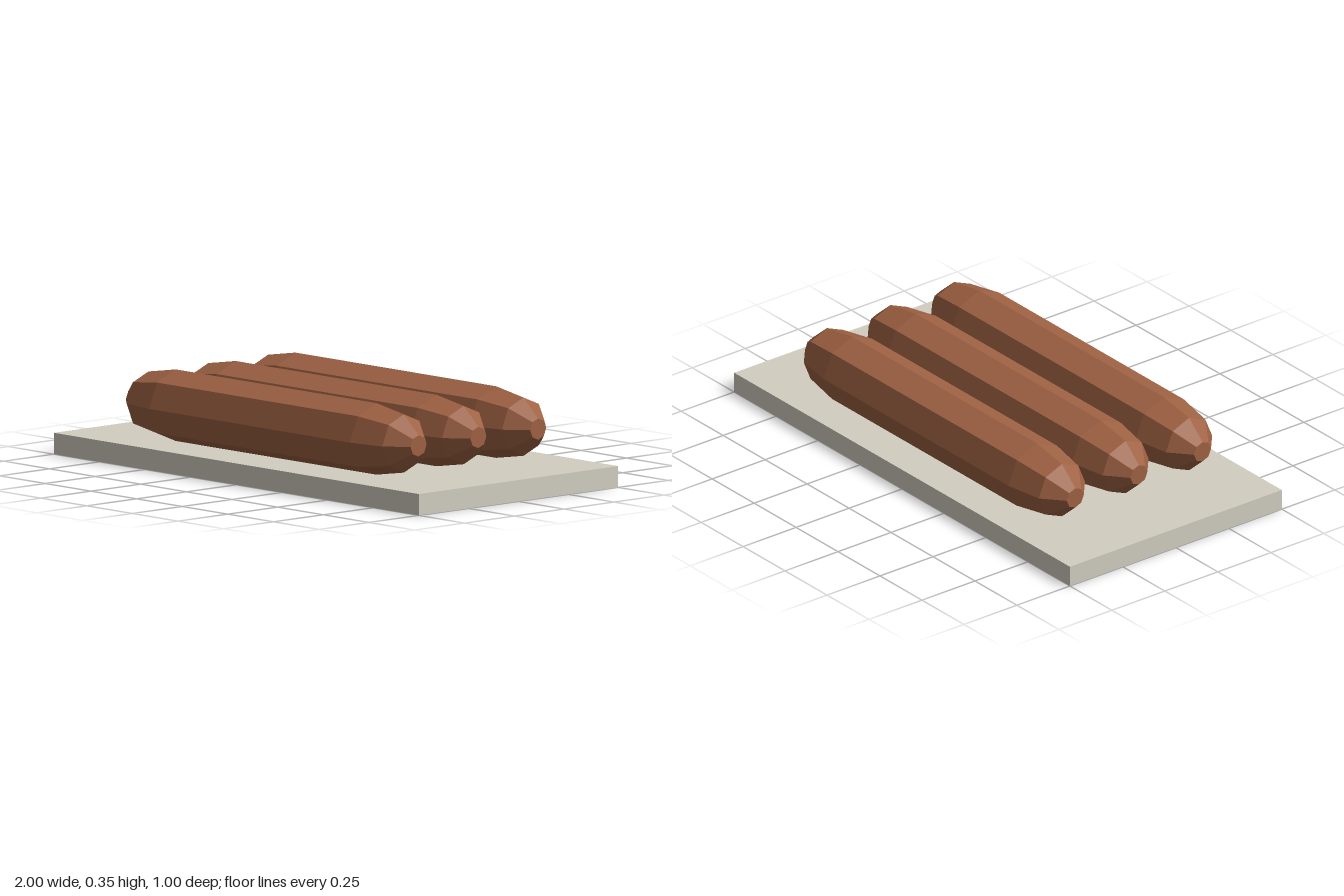
import * as THREE from 'three';

const meat = new THREE.MeshStandardMaterial({ color: 0x9f6243 });
meat.name = 'sausage brown';
const stone = new THREE.MeshStandardMaterial({ color: 0xd2cec1 });
stone.name = 'warm grey';

// Eight-sided sausage lying along x, with faceted tapered ends
function sausageGeometry() {
  const half = [[0.55, 0.134], [0.70, 0.109], [0.78, 0.04], [0.78, 0]];
  const profile = [
    ...half.map(([x, r]) => new THREE.Vector2(r, -x)).reverse(),
    ...half.map(([x, r]) => new THREE.Vector2(r, x)),
  ];
  const geometry = new THREE.LatheGeometry(profile, 8).toNonIndexed();
  geometry.rotateZ(-Math.PI / 2);
  geometry.computeVertexNormals(); // one normal per facet
  return geometry;
}

export function createModel() {
  const group = new THREE.Group();
  group.name = 'sausagesOnTray';

  // Flat tray
  const tray = new THREE.Mesh(new THREE.BoxGeometry(2, 0.08, 1), stone);
  tray.name = 'tray';
  tray.position.y = 0.04;
  group.add(tray);

  // Three sausages resting side by side
  const geometry = sausageGeometry();
  [['backSausage', -0.3], ['middleSausage', 0], ['frontSausage', 0.3]].forEach(([name, z]) => {
    const sausage = new THREE.Mesh(geometry, meat);
    sausage.name = name;
    sausage.position.set(0, 0.214, z);
    group.add(sausage);
  });

  return group;
}
